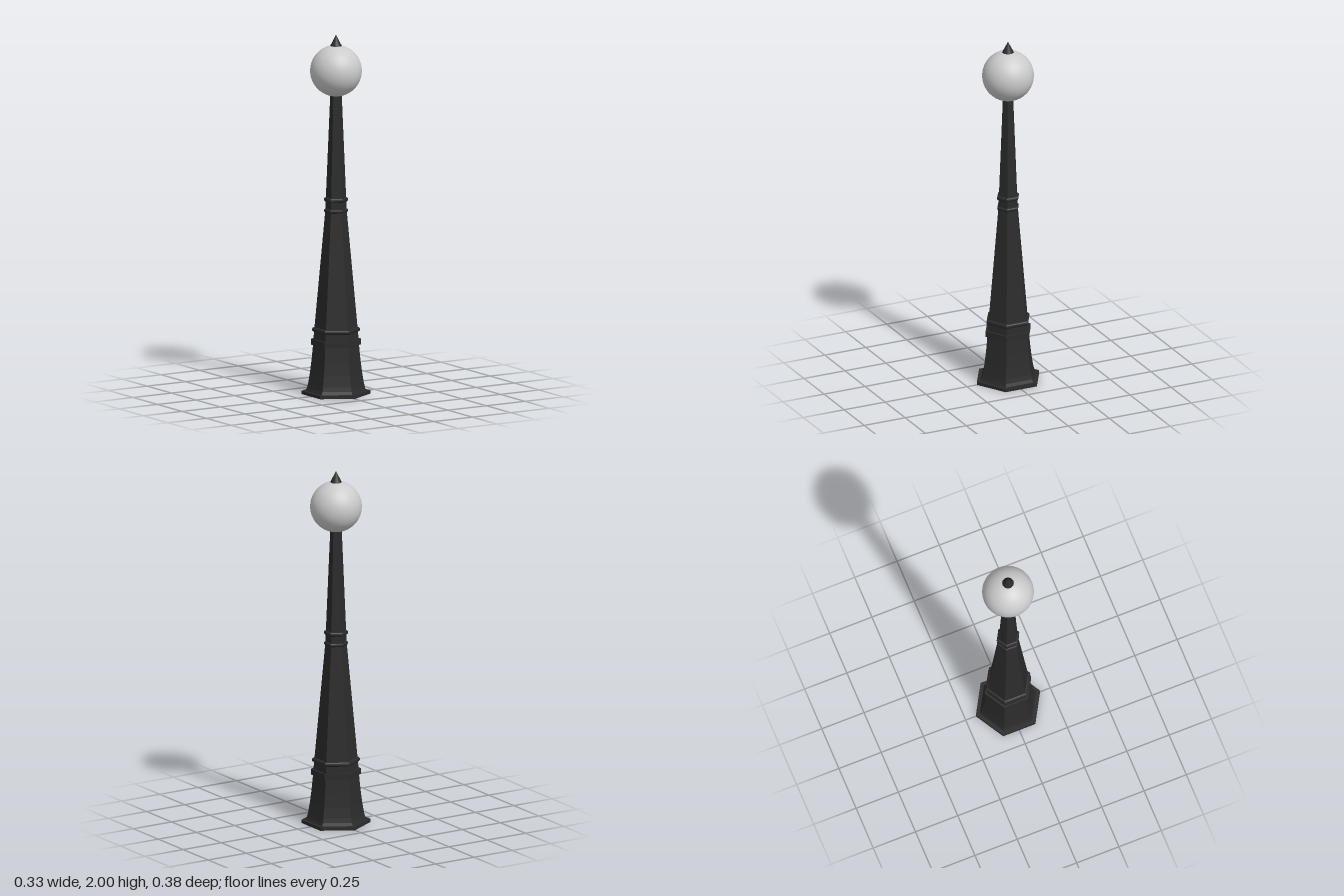
import * as THREE from 'three';

const iron = new THREE.MeshStandardMaterial({ color: 0x2b2b2b, flatShading: true });
const ironSmooth = new THREE.MeshStandardMaterial({ color: 0x2b2b2b });
const glass = new THREE.MeshStandardMaterial({ color: 0xcccccc });

// Six-sided solid from [corner radius, height] pairs, listed bottom to top
function hexPart(name, profile) {
  const points = profile.map(([r, y]) => new THREE.Vector2(r, y));
  points.unshift(new THREE.Vector2(0, profile[0][1]));
  points.push(new THREE.Vector2(0, profile[profile.length - 1][1]));
  const mesh = new THREE.Mesh(new THREE.LatheGeometry(points, 6), iron);
  mesh.name = name;
  return mesh;
}

// Six-sided ring with a half-round edge
function hexBead(name, inner, y, bulge, halfHeight) {
  const profile = [];
  for (let i = 0; i <= 6; i++) {
    const a = -Math.PI / 2 + (i / 6) * Math.PI;
    profile.push([inner + bulge * Math.cos(a), y + halfHeight * Math.sin(a)]);
  }
  return hexPart(name, profile);
}

export function createModel() {
  const lamp = new THREE.Group();
  lamp.name = 'streetLamp';

  // Foot and flared pedestal
  lamp.add(hexPart('basePlate', [[0.19, 0], [0.19, 0.018]]));
  lamp.add(hexPart('pedestal', [
    [0.167, 0.018], [0.159, 0.035], [0.153, 0.06], [0.143, 0.12],
    [0.134, 0.19], [0.126, 0.275],
  ]));
  lamp.add(hexPart('pedestalBand', [[0.137, 0.275], [0.137, 0.307]]));
  lamp.add(hexPart('pedestalNeck', [[0.123, 0.307], [0.121, 0.35]]));

  // Tapering post
  lamp.add(hexPart('lowerPost', [[0.12, 0.35], [0.059, 1.02]]));
  lamp.add(hexPart('postCollar', [[0.057, 1.02], [0.057, 1.085]]));
  lamp.add(hexPart('upperPost', [[0.056, 1.085], [0.031, 1.68]]));

  // Beads around the post
  lamp.add(hexBead('lowerBead', 0.12, 0.359, 0.012, 0.013));
  lamp.add(hexBead('middleBead', 0.056, 1.022, 0.01, 0.011));
  lamp.add(hexBead('upperBead', 0.056, 1.083, 0.011, 0.012));

  // Globe and finial
  const globe = new THREE.Mesh(new THREE.SphereGeometry(0.142, 48, 32), glass);
  globe.name = 'globe';
  globe.position.y = 1.8;
  lamp.add(globe);

  const finial = new THREE.Mesh(new THREE.ConeGeometry(0.032, 0.062, 32), ironSmooth);
  finial.name = 'finial';
  finial.position.y = 1.969;
  lamp.add(finial);

  return lamp;
}
